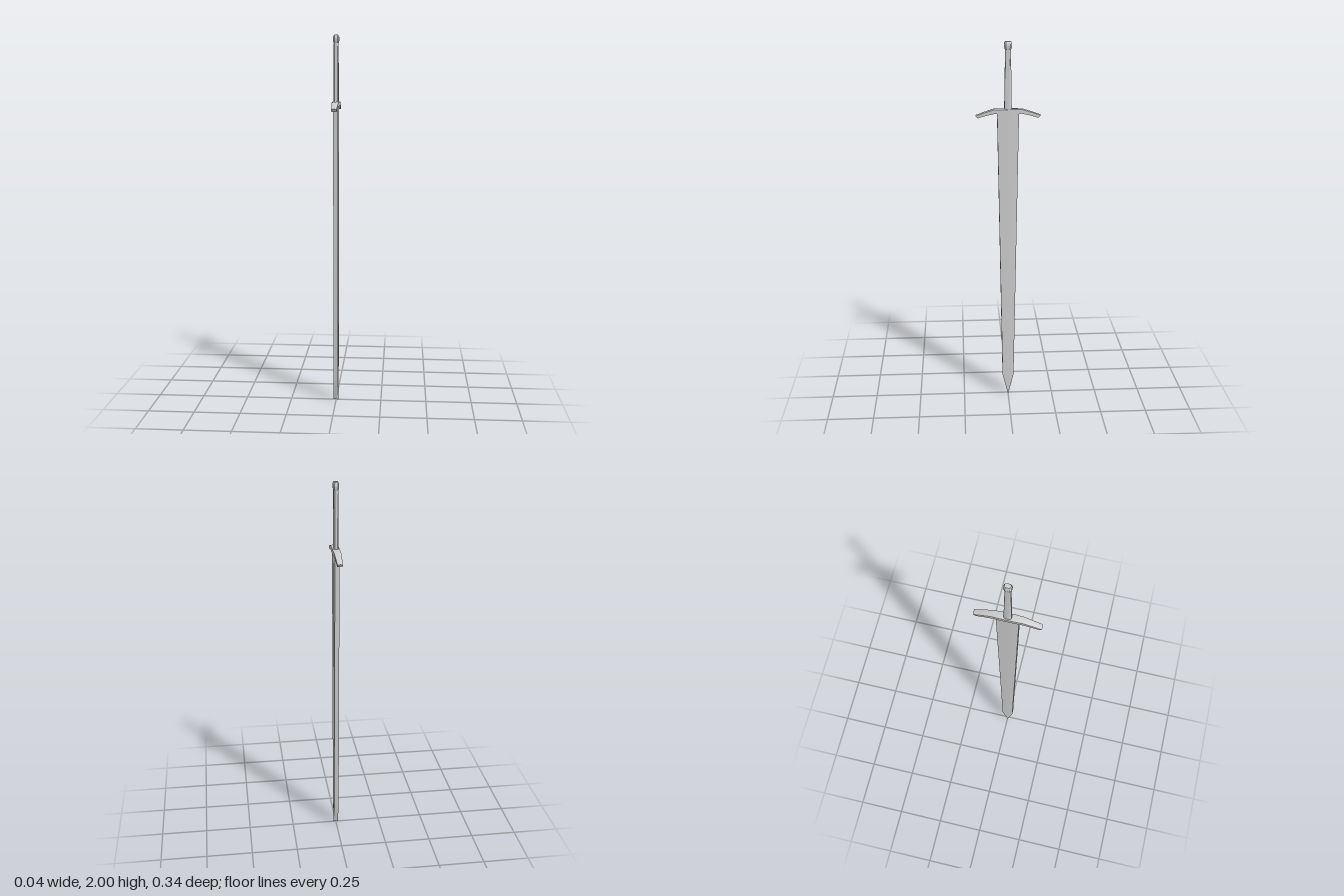
import * as THREE from 'three';
import { toCreasedNormals } from 'three/addons/utils/BufferGeometryUtils.js';

const material = new THREE.MeshStandardMaterial({ color: 0xcccccc });

// Skin a list of equal-length rings (counter-clockwise about the stacking axis) and cap both ends.
function loft(name, rings, crease) {
  const n = rings[0].length;
  const pos = rings.flat(2);
  const index = [];
  for (let r = 0; r < rings.length - 1; r++) {
    for (let i = 0; i < n; i++) {
      const a = r * n + i, b = r * n + (i + 1) % n;
      index.push(a, b, b + n, a, b + n, a + n);
    }
  }
  const last = (rings.length - 1) * n;
  for (let i = 1; i < n - 1; i++) {
    index.push(0, i + 1, i);
    index.push(last, last + i, last + i + 1);
  }
  const geometry = new THREE.BufferGeometry();
  geometry.setAttribute('position', new THREE.Float32BufferAttribute(pos, 3));
  geometry.setIndex(index);
  const mesh = new THREE.Mesh(toCreasedNormals(geometry, crease), material);
  mesh.name = name;
  return mesh;
}

// Flat blade section with a faint ridge down the middle of each side.
const bladeRing = (y, w, ridge = 0.0138, edge = 0.0122) => [
  [ridge, y, 0], [edge, y, -w], [-edge, y, -w],
  [-ridge, y, 0], [-edge, y, w], [edge, y, w],
];

// Rectangle with cut corners, used for the grip and pommel.
const octagonRing = (y, x, z) => [
  [x, y, z * 0.55], [x, y, -z * 0.55], [x * 0.55, y, -z], [-x * 0.55, y, -z],
  [-x, y, -z * 0.55], [-x, y, z * 0.55], [-x * 0.55, y, z], [x * 0.55, y, z],
];

// Guard section: box with a slightly raised top.
const guardRing = ([z, top, zBottom, bottom, w]) => [
  [w, bottom, zBottom], [w, top - 0.003, z], [0, top, z],
  [-w, top - 0.003, z], [-w, bottom, zBottom],
];

export function createModel() {
  const sword = new THREE.Group();
  sword.name = 'sword';

  // Blade, point down
  sword.add(loft('blade', [
    bladeRing(0, 0.0008), bladeRing(0.12, 0.031), bladeRing(1.635, 0.057),
  ], 0.5));

  // Crossguard with arms bending down; one half mirrored to the other
  const half = [
    [0.03, 1.655, 0.03, 1.63, 0.0195],
    [0.075, 1.654, 0.07, 1.63, 0.018],
    [0.12, 1.64, 0.115, 1.62, 0.016],
    [0.17, 1.622, 0.158, 1.607, 0.0138],
  ];
  const mirrored = half.map(([z, t, zb, b, w]) => [-z, t, -zb, b, w]).reverse();
  sword.add(loft('crossguard', [...mirrored, ...half].map(guardRing), 0.5));

  // Grip, tapering up
  sword.add(loft('grip', [
    octagonRing(1.645, 0.0135, 0.0195), octagonRing(1.8, 0.0135, 0.0175),
    octagonRing(1.968, 0.012, 0.014),
  ], 0.9));

  // Pommel
  sword.add(loft('pommel', [
    octagonRing(1.957, 0.012, 0.0145), octagonRing(1.97, 0.0155, 0.02),
    octagonRing(1.988, 0.0155, 0.02), octagonRing(2, 0.011, 0.0155),
  ], 0.6));

  return sword;
}
